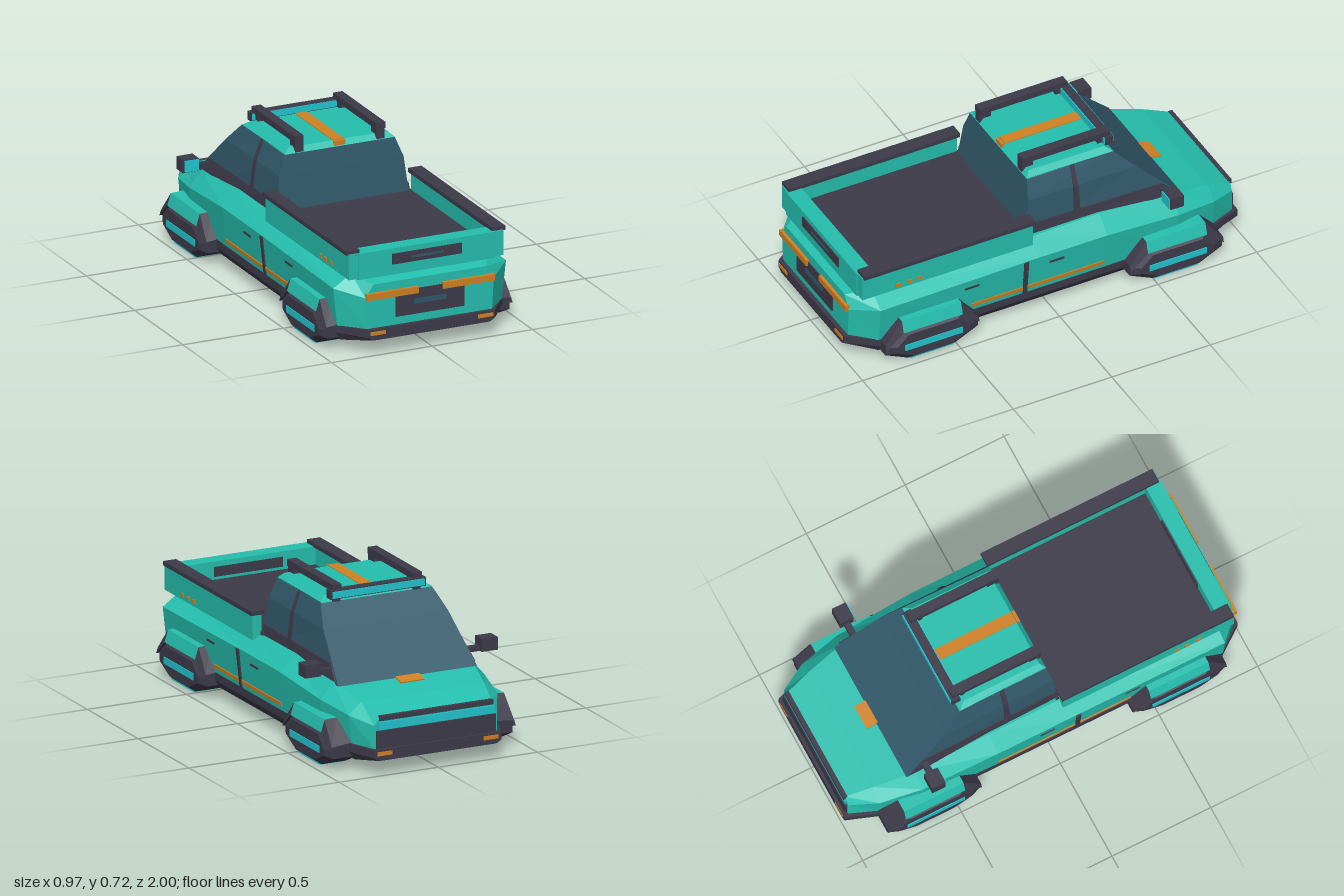
import * as THREE from 'three';

const mat = (name, color) => Object.assign(new THREE.MeshStandardMaterial({ color, flatShading: true }), { name });

export function createModel() {
  const truck = new THREE.Group();
  truck.name = 'pickupTruck';
  const teal = mat('teal paint', 0x25bfae);
  const dark = mat('dark trim', 0x3d3a49);
  const glass = mat('tinted glass', 0x31586a);
  const cyan = mat('cyan lights', 0x22c6d0);
  const orange = mat('orange accents', 0xd08122);

  const add = (name, geo, material) => {
    const mesh = new THREE.Mesh(geo, material);
    mesh.name = name;
    truck.add(mesh);
    return mesh;
  };

  // Box given by its min and max on each axis
  const box = (name, material, [x0, x1], [y0, y1], [z0, z1]) => {
    const mesh = add(name, new THREE.BoxGeometry(x1 - x0, y1 - y0, z1 - z0), material);
    mesh.position.set((x0 + x1) / 2, (y0 + y1) / 2, (z0 + z1) / 2);
    return mesh;
  };
  // The same box on both sides
  const boxes = (name, material, [x0, x1], y, z) => {
    box(name + 'Left', material, [x0, x1], y, z);
    box(name + 'Right', material, [-x1, -x0], y, z);
  };

  // Closed, capped skin over a list of rings; side -1 mirrors it in x
  const loft = (name, material, rings, side = 1) => {
    if (side < 0) rings = rings.map(r => r.map(([x, y, z]) => [-x, y, z]).reverse());
    const pos = [];
    const n = rings[0].length;
    for (let i = 0; i < rings.length - 1; i++) {
      for (let j = 0; j < n; j++) {
        const k = (j + 1) % n;
        const a = rings[i][j], b = rings[i][k], c = rings[i + 1][k], d = rings[i + 1][j];
        pos.push(...a, ...d, ...b, ...b, ...d, ...c);
      }
    }
    const last = rings[rings.length - 1];
    for (let j = 1; j < n - 1; j++) {
      pos.push(...rings[0][0], ...rings[0][j], ...rings[0][j + 1]);
      pos.push(...last[0], ...last[j + 1], ...last[j]);
    }
    const geo = new THREE.BufferGeometry();
    geo.setAttribute('position', new THREE.Float32BufferAttribute(pos, 3));
    geo.computeVertexNormals();
    return add(name, geo, material);
  };
  // Symmetric section at z from its right half, bottom to top
  const section = (z, half) => [
    ...half.map(([x, y]) => [x, y, z]),
    ...half.slice().reverse().map(([x, y]) => [-x, y, z]),
  ];

  // Body: z, bottom half width, belt (x, y), shoulder (x, y)
  loft('body', teal, [
    [0.975, 0.31, 0.32, 0.27, 0.28, 0.33],
    [0.87, 0.41, 0.43, 0.30, 0.34, 0.358],
    [0.07, 0.41, 0.43, 0.31, 0.35, 0.375],
    [-0.28, 0.41, 0.43, 0.31, 0.35, 0.382],
    [-0.65, 0.40, 0.415, 0.28, 0.35, 0.355],
    [-0.85, 0.36, 0.375, 0.255, 0.31, 0.31],
    [-0.975, 0.31, 0.31, 0.23, 0.28, 0.27],
  ].map(([z, w, bx, by, sx, sy]) => section(z, [[w, 0.12], [bx, by], [sx, sy]])));

  // Underbody with bumpers
  loft('underbody', dark, [
    [0.995, 0.31, 0.07], [0.86, 0.41, 0.047], [-0.6, 0.405, 0.047],
    [-0.86, 0.365, 0.047], [-0.998, 0.315, 0.07],
  ].map(([z, w, y]) => section(z, [[w - 0.02, y], [w + 0.005, 0.085], [w + 0.005, 0.122]])));

  // Nose
  box('grille', dark, [-0.3, 0.3], [0.12, 0.205], [-0.985, -0.97]);
  box('frontLightBar', cyan, [-0.29, 0.29], [0.21, 0.245], [-0.982, -0.97]);
  box('hoodLip', dark, [-0.285, 0.285], [0.252, 0.274], [-0.986, -0.965]);
  boxes('frontMarker', orange, [0.23, 0.305], [0.093, 0.112], [-1, -0.99]);
  const badge = box('hoodAccent', orange, [-0.06, 0.06], [0.339, 0.345], [-0.75, -0.69]);
  badge.rotation.x = -0.22;

  // Tail
  box('rearPanel', dark, [-0.17, 0.17], [0.16, 0.28], [0.972, 0.981]);
  box('rearPanelStrip', glass, [-0.08, 0.08], [0.21, 0.233], [0.979, 0.984]);
  boxes('tailLight', orange, [0.06, 0.318], [0.26, 0.291], [0.965, 0.99]);
  boxes('rearMarker', orange, [0.23, 0.305], [0.095, 0.112], [0.99, 0.999]);

  // Cargo bed
  box('bedFloor', dark, [-0.345, 0.345], [0.35, 0.39], [0.06, 0.9]);
  boxes('bedWall', teal, [0.34, 0.385], [0.355, 0.476], [0.075, 0.94]);
  boxes('bedRail', dark, [0.33, 0.396], [0.472, 0.492], [0.065, 0.935]);
  box('tailgate', teal, [-0.34, 0.34], [0.35, 0.475], [0.87, 0.945]);
  box('tailgatePanel', dark, [-0.172, 0.172], [0.4, 0.45], [0.943, 0.951]);
  box('tailgateStrip', glass, [-0.08, 0.08], [0.419, 0.43], [0.949, 0.954]);
  box('tailgateInnerPanel', dark, [-0.172, 0.172], [0.405, 0.45], [0.863, 0.871]);
  for (const z of [0.76, 0.7, 0.65]) boxes('bedMarker', orange, [0.383, 0.39], [0.37, 0.388], [z - 0.012, z + 0.012]);

  // Cabin, stacked upward: y, rear z, front z, rear half width, front half width
  const level = ([y, r, f, wr, wf]) => [[wf, y, f], [wr, y, r], [-wr, y, r], [-wf, y, f]];
  loft('cabinGlass', glass, [
    [0.345, 0.085, -0.7, 0.33, 0.35],
    [0.55, 0.06, -0.485, 0.31, 0.315],
    [0.645, 0.045, -0.39, 0.272, 0.28],
  ].map(level));
  loft('cabinSill', dark, [
    [0.36, 0.08, -0.675, 0.336, 0.355],
    [0.425, 0.073, -0.605, 0.329, 0.341],
  ].map(level));
  loft('doorPillar', dark, [
    [0.42, -0.165, -0.195, 0.333, 0.333],
    [0.55, -0.168, -0.192, 0.318, 0.318],
    [0.645, -0.17, -0.19, 0.28, 0.28],
  ].map(level));
  loft('roof', teal, [
    [0.643, 0.047, -0.393, 0.274, 0.28],
    [0.667, 0.025, -0.36, 0.248, 0.25],
  ].map(level));
  box('roofStripe', orange, [-0.028, 0.028], [0.664, 0.67], [-0.36, 0.027]);
  box('roofStripeRear', orange, [-0.028, 0.028], [0.642, 0.668], [0.03, 0.044]);

  // Roof rack and light bar
  boxes('roofRail', dark, [0.18, 0.226], [0.692, 0.722], [-0.4, 0.045]);
  boxes('railRearFoot', dark, [0.182, 0.222], [0.632, 0.694], [-0.012, 0.045]);
  boxes('railFrontFoot', dark, [0.182, 0.222], [0.64, 0.694], [-0.395, -0.34]);
  box('roofLightBar', dark, [-0.24, 0.24], [0.657, 0.698], [-0.412, -0.37]);
  box('roofLightFront', cyan, [-0.232, 0.232], [0.662, 0.693], [-0.417, -0.411]);
  box('roofLightRear', cyan, [-0.238, 0.238], [0.667, 0.696], [-0.371, -0.365]);

  // Mirrors
  boxes('mirrorStem', dark, [0.33, 0.42], [0.385, 0.408], [-0.62, -0.59]);
  boxes('mirrorHousing', dark, [0.405, 0.485], [0.385, 0.445], [-0.64, -0.572]);
  boxes('mirrorFace', cyan, [0.408, 0.477], [0.388, 0.442], [-0.574, -0.567]);

  // Wheel outline as (z, y), drawn over the top towards the nose
  const outline = [[0.16, 0.17], [-0.16, 0.17], [-0.235, 0.1], [-0.235, 0.06], [-0.12, 0.005], [0.12, 0.005], [0.235, 0.06], [0.235, 0.1]];
  for (const s of [1, -1]) {
    const span = (a, b) => (s > 0 ? [a, b] : [-b, -a]);

    // Side trim leaning with the door surface
    const lean = mesh => { mesh.rotation.z = -s * 0.11; };
    lean(box('sideStripe', orange, span(0.41, 0.418), [0.144, 0.162], [-0.27, 0.4]));
    lean(box('doorSeam', dark, span(0.416, 0.426), [0.118, 0.308], [0.12, 0.142]));
    for (const z of [0.405, -0.025]) lean(box('doorHandle', dark, span(0.423, 0.43), [0.26, 0.269], [z - 0.036, z + 0.036]));

    for (const cz of [0.625, -0.615]) {
      const ring = (x, k) => outline.map(([z, y]) => [x, 0.085 + (y - 0.085) * k, cz + z * k]);
      loft('wheel', dark, [ring(0.33, 1), ring(0.452, 1), ring(0.474, 0.78)], s);
      box('wheelSideLight', cyan, span(0.47, 0.478), [0.068, 0.1], [cz - 0.145, cz + 0.145]);
      box('wheelTread', cyan, span(0.342, 0.455), [0, 0.008], [cz - 0.11, cz + 0.11]);

      // Arch: painted middle between dark sloping ends
      const high = z => [[0.39, 0.15, z], [0.47, 0.165, z], [0.452, 0.222, z], [0.39, 0.225, z]];
      const low = z => [[0.36, 0.09, z], [0.468, 0.09, z], [0.46, 0.115, z], [0.36, 0.125, z]];
      loft('wheelArch', teal, [high(cz + 0.15), high(cz - 0.15)], s);
      loft('archRearEnd', dark, [low(cz + 0.236), high(cz + 0.15)], s);
      loft('archFrontEnd', dark, [high(cz - 0.15), low(cz - 0.236)], s);
    }
  }
  return truck;
}
